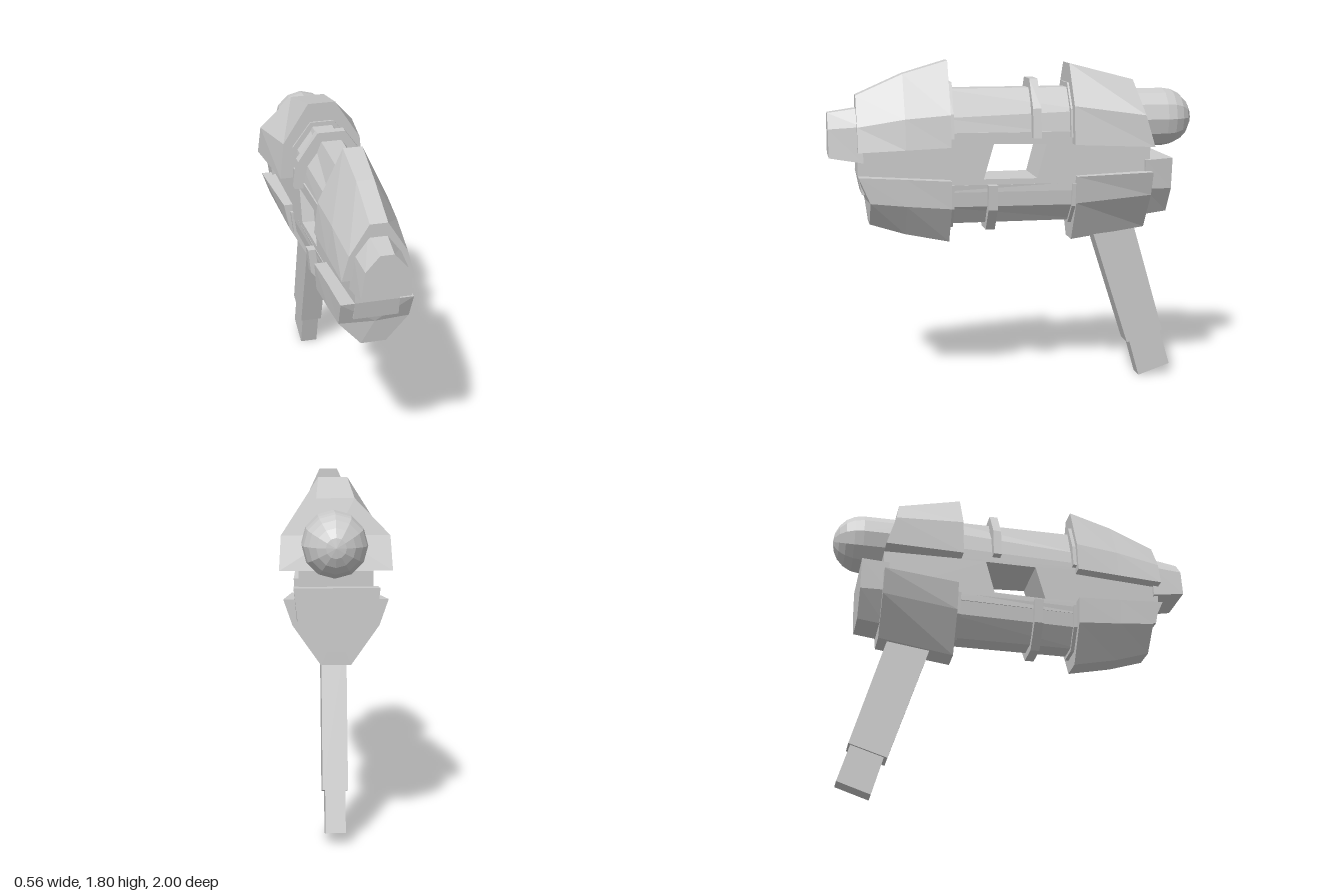
import * as THREE from 'three';

const material = new THREE.MeshStandardMaterial({ color: 0xcccccc, flatShading: true });

function addPart(group, name, geometry) {
  const mesh = new THREE.Mesh(geometry, material);
  mesh.name = name;
  group.add(mesh);
  return mesh;
}

// Mirrored loft: each section is a half profile of [x, y, z], top to bottom, sections front to back.
function loft(sections) {
  const loops = sections.map((half) => [
    ...half, ...half.map(([x, y, z]) => [-x, y, z]).reverse(),
  ]);
  const n = loops[0].length;
  const positions = [];
  const tri = (a, b, c) => positions.push(...a, ...b, ...c);
  const centre = (loop) => [0, 1, 2].map((k) => loop.reduce((s, p) => s + p[k], 0) / n);
  for (let s = 0; s < loops.length - 1; s++) {
    const f = loops[s], b = loops[s + 1];
    for (let i = 0; i < n; i++) {
      const j = (i + 1) % n;
      tri(f[i], f[j], b[j]);
      tri(f[i], b[j], b[i]);
    }
  }
  const first = loops[0], last = loops[loops.length - 1];
  const cf = centre(first), cb = centre(last);
  for (let i = 0; i < n; i++) {
    const j = (i + 1) % n;
    tri(cf, first[j], first[i]);
    tri(cb, last[i], last[j]);
  }
  const geometry = new THREE.BufferGeometry();
  geometry.setAttribute('position', new THREE.Float32BufferAttribute(positions, 3));
  geometry.computeVertexNormals();
  return geometry;
}

// Side outline of [z, y] points extruded across x.
function sideExtrude(points, halfWidth, hole) {
  const toVectors = (list) => list.map(([z, y]) => new THREE.Vector2(z, y));
  const shape = new THREE.Shape(toVectors(points));
  if (hole) shape.holes.push(new THREE.Path(toVectors(hole)));
  const geometry = new THREE.ExtrudeGeometry(shape, { depth: halfWidth * 2, bevelEnabled: false });
  return geometry.translate(0, 0, -halfWidth).rotateY(-Math.PI / 2);
}

// Barrel cross-sections at depth z, enlarged by g; both widen towards the back.
const widen = (z) => 0.025 * (0.35 - z) / 0.65;
const upperSection = (z, g = 0) => [
  [0.055 + g * 0.4, 1.65 + g, z],
  [0.115 + g + widen(z), 1.5 + g * 0.6 + widen(z), z],
  [0.135 + g + widen(z), 1.39, z],
];
const lowerSection = (z, g = 0) => [
  [0.14 + g + widen(z), 1.14, z],
  [0.125 + g + widen(z), 1.02 - g * 0.4, z],
  [0.055 + g * 0.4, 0.92 - g, z],
];

export function createModel() {
  const model = new THREE.Group();
  model.name = 'blaster';

  // Central frame with a slanted window, wider at the back
  const frame = sideExtrude(
    [[0.83, 1.1], [0.85, 1.2], [0.85, 1.42], [-0.7, 1.42], [-0.73, 1.34], [-0.73, 1.1]], 1,
    [[0.125, 1.36], [-0.16, 1.355], [-0.11, 1.17], [0.18, 1.17]],
  );
  const p = frame.attributes.position;
  for (let i = 0; i < p.count; i++) p.setX(i, p.getX(i) * (0.152 - p.getZ(i) * 0.045));
  frame.computeVertexNormals();
  addPart(model, 'frame', frame);

  // Barrels, their bands and end flanges
  const runs = [
    ['upper', upperSection, [[-0.08, -0.125, 0.05], [0.37, 0.34, 0.035], [-0.29, -0.32, 0.025]]],
    ['lower', lowerSection, [[0.16, 0.11, 0.04], [0.37, 0.34, 0.02], [-0.3, -0.33, 0.015]]],
  ];
  for (const [label, section, bands] of runs) {
    addPart(model, label + 'Barrel', loft([section(0.4), section(-0.4)]));
    for (const [front, back, g] of bands) {
      addPart(model, label + 'Band', loft([section(front, g), section(back, g)]));
    }
  }

  // Muzzle
  addPart(model, 'muzzle', loft([
    [[0.035, 1.53, 1], [0.105, 1.45, 1], [0.125, 1.3, 1]],
    [[0.045, 1.555, 0.82], [0.115, 1.46, 0.82], [0.135, 1.27, 0.82]],
  ]));

  // Upper shrouds
  addPart(model, 'upperFrontShroud', loft([
    [[0.045, 1.62, 0.85], [0.145, 1.46, 0.85], [0.18, 1.33, 0.85]],
    [[0.045, 1.73, 0.6], [0.165, 1.5, 0.6], [0.19, 1.34, 0.6]],
    [[0.05, 1.8, 0.36], [0.18, 1.52, 0.36], [0.2, 1.35, 0.36]],
  ]));
  addPart(model, 'upperRearShroud', loft([
    [[0.075, 1.78, -0.3], [0.215, 1.56, -0.3], [0.235, 1.355, -0.3]],
    [[0.095, 1.69, -0.65], [0.27, 1.51, -0.68], [0.28, 1.34, -0.73]],
  ]));

  // Lower shrouds
  addPart(model, 'lowerFrontShroud', loft([
    [[0.185, 1.2, 0.85], [0.18, 1.06, 0.79], [0.065, 0.93, 0.79]],
    [[0.19, 1.185, 0.6], [0.185, 1.04, 0.6], [0.065, 0.87, 0.6]],
    [[0.2, 1.17, 0.36], [0.19, 1.02, 0.36], [0.065, 0.82, 0.36]],
  ]));
  addPart(model, 'lowerRearShroud', loft([
    [[0.215, 1.18, -0.32], [0.185, 1.03, -0.32], [0.065, 0.81, -0.32]],
    [[0.26, 1.2, -0.73], [0.215, 1.07, -0.73], [0.075, 0.87, -0.73]],
  ]));
  addPart(model, 'rearPlug', loft([
    [[0.21, 1.26, -0.7], [0.195, 1.1, -0.7], [0.1, 0.94, -0.7]],
    [[0.21, 1.27, -0.85], [0.19, 1.1, -0.85], [0.1, 0.96, -0.85]],
  ]));

  // Domed cap at the back
  const dome = new THREE.CapsuleGeometry(0.16, 0.3, 5, 12).rotateX(-Math.PI / 2);
  addPart(model, 'rearDome', dome).position.set(0.01, 1.475, -0.69);

  // Grip and its narrower foot
  addPart(model, 'grip', sideExtrude(
    [[-0.4, 0.98], [-0.65, 0.2], [-0.855, 0.265], [-0.64, 1.0]], 0.063)).position.x = 0.008;
  addPart(model, 'gripFoot', sideExtrude(
    [[-0.66, 0.23], [-0.725, 0], [-0.905, 0.06], [-0.835, 0.29]], 0.05)).position.x = 0.008;

  return model;
}
